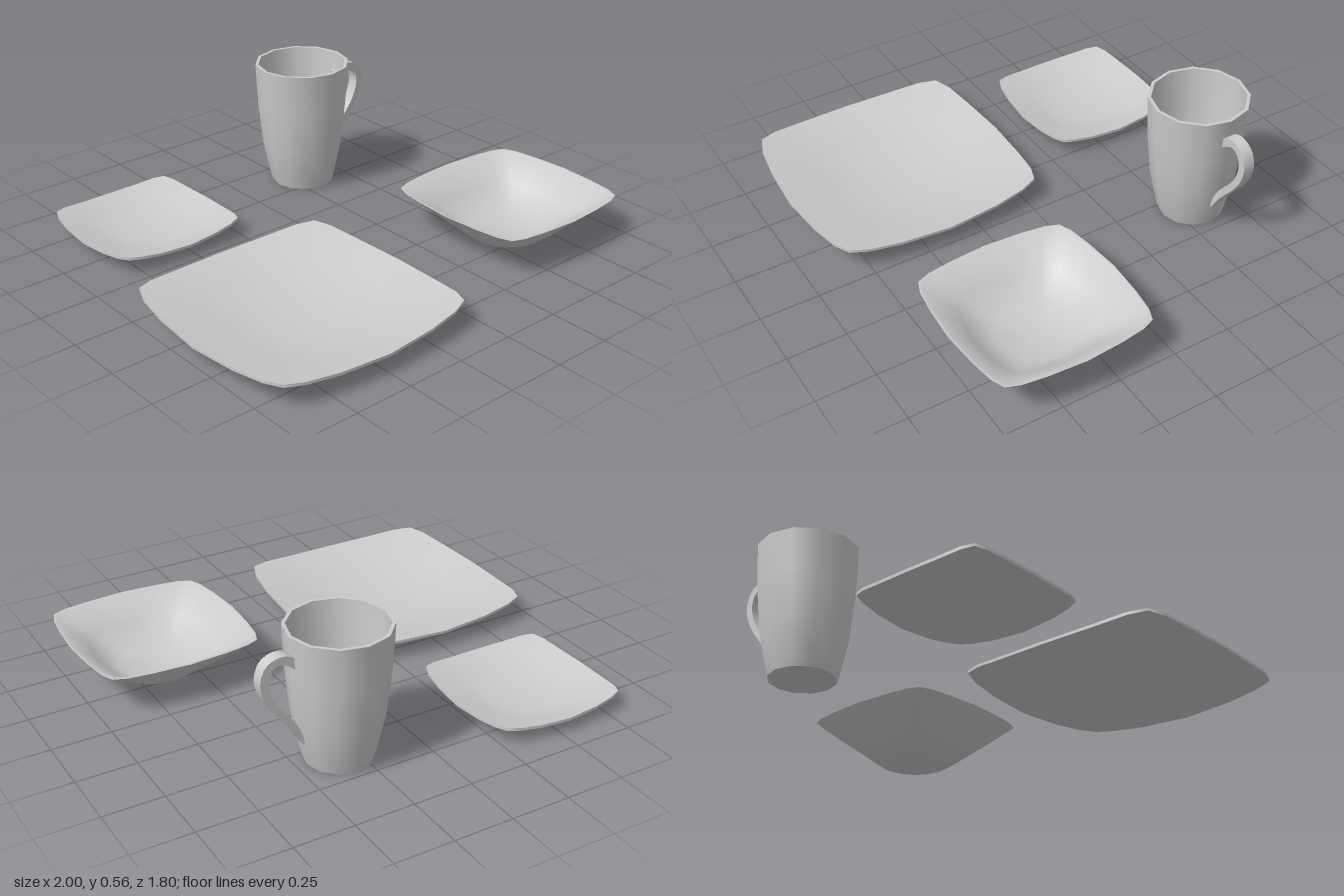
import * as THREE from 'three';
import { toCreasedNormals } from 'three/addons/utils/BufferGeometryUtils.js';

const material = new THREE.MeshStandardMaterial({ color: 0xcccccc });

// Rounded-square outline of half-width 1: one quarter, turned four times
const quarter = [[1, 0], [0.97, 0.44], [0.93, 0.72], [0.87, 0.87], [0.72, 0.93], [0.44, 0.97]];
const outline = [];
for (let q = 0; q < 4; q++) {
  for (const [x, z] of quarter) {
    outline.push([[x, z], [-z, x], [-x, -z], [z, -x]][q]);
  }
}

function addMesh(parent, name, geometry, crease = 1.05) {
  const mesh = new THREE.Mesh(toCreasedNormals(geometry, crease), material);
  mesh.name = name;
  parent.add(mesh);
  return mesh;
}

// Ring blending from a circle of radius base (t = 0) to the square of half-width half (t = 1)
function ring(base, half, t, height) {
  return outline.map(([x, z]) => {
    const k = THREE.MathUtils.lerp(base / Math.hypot(x, z), half, t);
    return [x * k, height(Math.hypot(x, z) * k), z * k];
  });
}

const centre = (y) => outline.map(() => [0, y, 0]);

// Skin over rings that run from the bottom centre, round the rim, to the top centre
function loft(rings) {
  const n = outline.length;
  const last = rings.length - 2;
  const positions = [];
  for (let i = 0; i <= last; i++) {
    for (let j = 0; j < n; j++) {
      const k = (j + 1) % n;
      const a = rings[i][j], b = rings[i][k], c = rings[i + 1][k], d = rings[i + 1][j];
      if (i < last) positions.push(...a, ...d, ...c);
      if (i > 0) positions.push(...a, ...c, ...b);
      if (i === last) positions.push(...a, ...d, ...b);
    }
  }
  const geometry = new THREE.BufferGeometry();
  geometry.setAttribute('position', new THREE.Float32BufferAttribute(positions, 3));
  return geometry;
}

// Plate with a flat round base and corners that rise above the sides
function plate(half, base, slope) {
  const thick = 0.012;
  const under = (r) => slope * Math.max(0, r - base);
  const over = (r) => under(r) + thick;
  return loft([
    centre(0),
    ring(base, half, 0, under),
    ring(base, half, 0.5, under),
    ring(base, half, 1, under),
    ring(base, half, 1, over),
    ring(base, half, 0.5, over),
    ring(base, half, 0, over),
    centre(thick),
  ]);
}

// Deep bowl with a level rim
function bowl(half, base, height) {
  const at = (y) => () => y;
  const wall = 0.012;
  return loft([
    centre(0),
    ring(base, half, 0, at(0)),
    ring(base, half, 0.5, at(height * 0.47)),
    ring(base, half, 1, at(height)),
    ring(base - wall, half - wall, 1, at(height)),
    ring(base - wall, half - wall, 0.5, at(height * 0.47 + 0.006)),
    ring(base - wall, half - wall, 0, at(0.014)),
    centre(0.014),
  ]);
}

function createMug() {
  const mug = new THREE.Group();
  mug.name = 'mug';

  // Twelve-sided cup, outside then inside
  const profile = [
    [0, 0], [0.138, 0], [0.145, 0.02], [0.181, 0.19], [0.2, 0.38], [0.209, 0.565],
    [0.195, 0.565], [0.187, 0.38], [0.168, 0.19], [0.13, 0.025], [0, 0.025],
  ].map(([x, y]) => new THREE.Vector2(x, y));
  addMesh(mug, 'cup', new THREE.LatheGeometry(profile, 12));

  // Flat looped handle, drawn from its outer and inner curves
  const curve = (points) => new THREE.SplineCurve(
    points.map(([x, y]) => new THREE.Vector2(x, y))).getPoints(20);
  const outer = curve([[0.185, 0.475], [0.22, 0.5], [0.265, 0.505], [0.315, 0.48], [0.338, 0.415],
    [0.322, 0.345], [0.28, 0.275], [0.22, 0.2], [0.165, 0.11]]);
  const inner = curve([[0.155, 0.12], [0.19, 0.205], [0.235, 0.265], [0.28, 0.325], [0.305, 0.4],
    [0.293, 0.45], [0.265, 0.473], [0.23, 0.465], [0.19, 0.435]]);
  const handle = new THREE.ExtrudeGeometry(new THREE.Shape([...outer, ...inner]),
    { depth: 0.05, bevelEnabled: false });
  handle.translate(0, 0, -0.025);
  addMesh(mug, 'handle', handle, 0.7);
  return mug;
}

export function createModel() {
  const model = new THREE.Group();
  model.name = 'tableware';

  addMesh(model, 'dinnerPlate', plate(0.5, 0.17, 0.215)).position.set(-0.5, 0, 0.395);
  addMesh(model, 'sidePlate', plate(0.316, 0.135, 0.27)).position.set(-0.535, 0, -0.588);
  addMesh(model, 'bowl', bowl(0.366, 0.165, 0.18)).position.set(0.633, 0, 0.398);

  const mug = createMug();
  mug.position.set(0.32, 0, -0.582);
  model.add(mug);
  return model;
}
